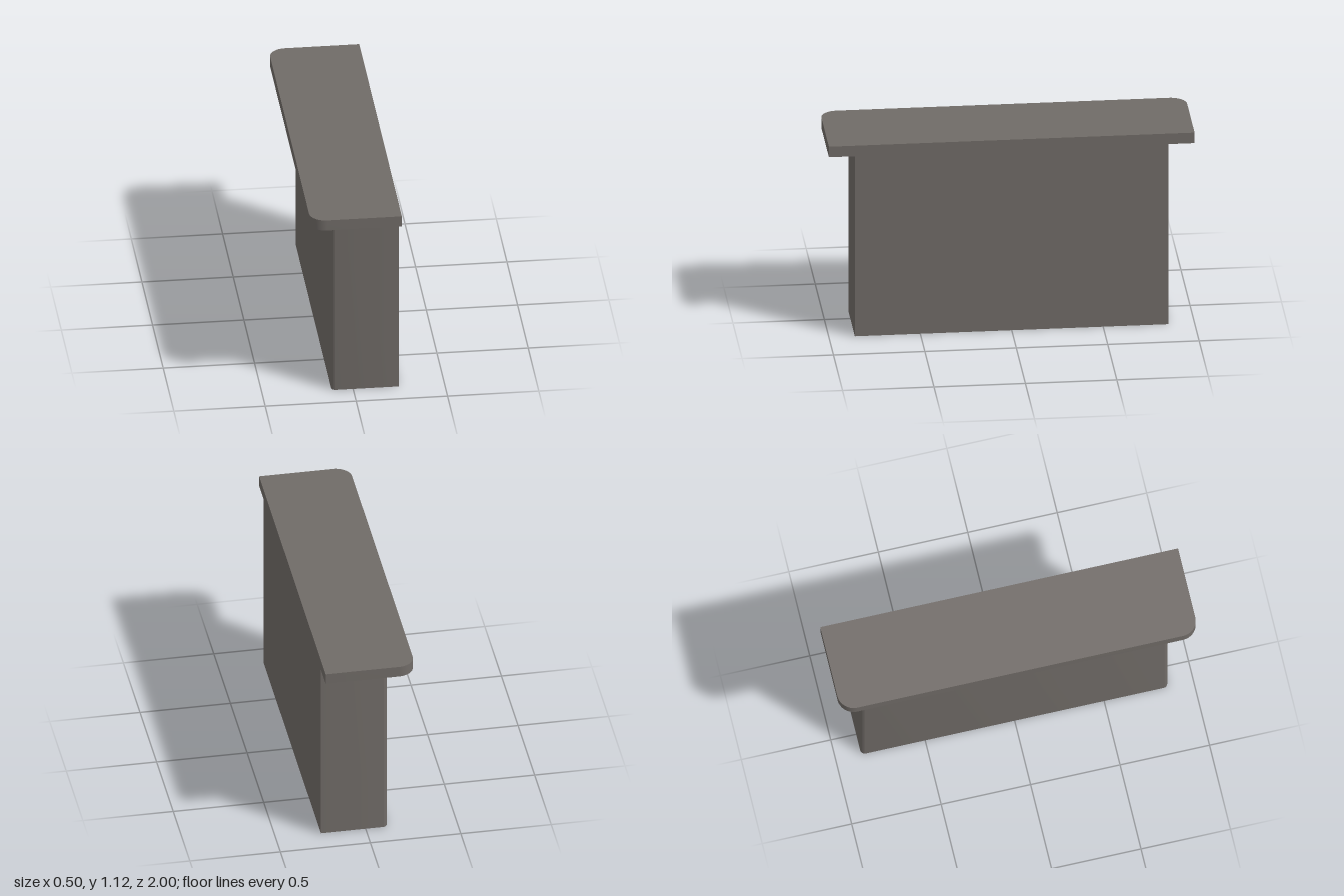
import * as THREE from 'three';
import { toCreasedNormals } from 'three/addons/utils/BufferGeometryUtils.js';

const stone = new THREE.MeshStandardMaterial({ color: 0x706b67 });
stone.name = 'warm grey';

// Upright slab: square corners on the +x side, rounded corners on the -x side
function slab(name, x0, x1, halfZ, y0, y1, r) {
  const s = new THREE.Shape();
  s.moveTo(x1, -halfZ);
  s.lineTo(x1, halfZ);
  s.lineTo(x0 + r, halfZ);
  s.absarc(x0 + r, halfZ - r, r, Math.PI / 2, Math.PI, false);
  s.lineTo(x0, -halfZ + r);
  s.absarc(x0 + r, -halfZ + r, r, Math.PI, Math.PI * 1.5, false);
  s.closePath();
  const geo = new THREE.ExtrudeGeometry(s, { depth: y1 - y0, bevelEnabled: false, curveSegments: 8 });
  geo.rotateX(-Math.PI / 2).translate(0, y0, 0);
  const mesh = new THREE.Mesh(toCreasedNormals(geo, 0.6), stone);
  mesh.name = name;
  return mesh;
}

export function createModel() {
  const group = new THREE.Group();
  group.name = 'counter';
  // Body, flush with the top on the +x side
  group.add(slab('body', -0.12, 0.25, 0.858, 0, 1.063, 0.025));
  // Overhanging top
  group.add(slab('counterTop', -0.25, 0.25, 1, 1.063, 1.125, 0.09));
  return group;
}
